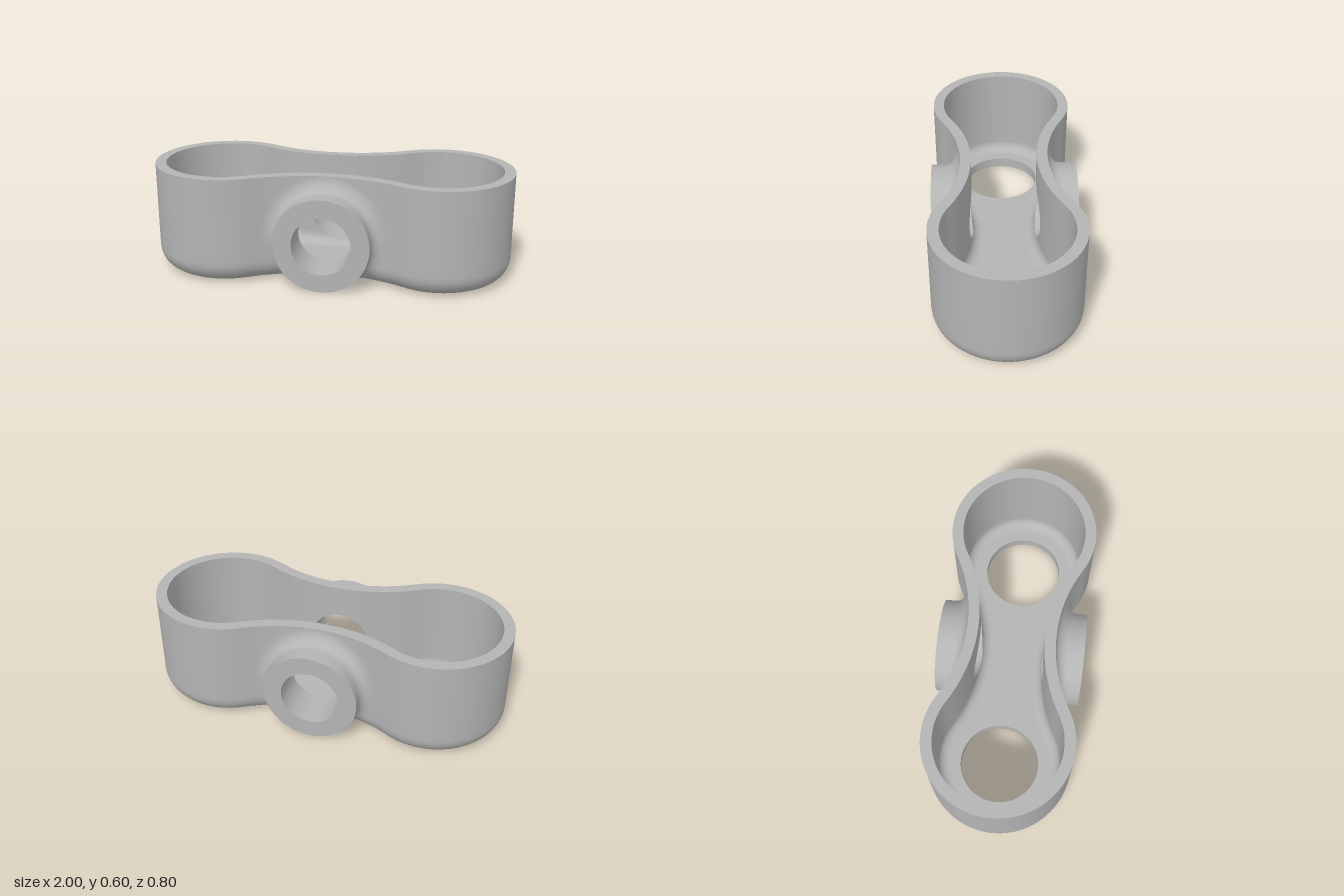
import * as THREE from 'three';

const HEIGHT = 0.6, WALL = 0.06, ROUND = 0.12;      // shell sizes
const END_X = 0.6, END_R = 0.4;                     // round ends
const WAIST_R = 0.805, WAIST_C = 1.045;             // concave waist arc
const PATCH_X = 0.38;                               // half width of the waist panel
const BOSS_Y = 0.26, BOSS_R = 0.26, BORE_R = 0.16, BOSS_Z = 0.4;
const FILLET_W = 0.08, FILLET_H = 0.07;

// Half width of the waist at x for an outline inset by i
const waistZ = (x, i) => WAIST_C - Math.sqrt((WAIST_R + i) ** 2 - x * x);

// Inset of the outer and inner wall at height y (rounded at the bottom)
const roundInset = (y, r) => (y >= r ? 0 : r - Math.sqrt(Math.max(0, r * r - (r - y) ** 2)));
const outerInset = y => roundInset(y, ROUND);
const innerInset = y => WALL + roundInset(y - WALL, ROUND - WALL);

// Extra height of the fillet that flares into the boss
function fillet(x, y) {
  const t = Math.min(1, Math.max(0, (Math.hypot(x, y - BOSS_Y) - BOSS_R) / FILLET_W));
  return FILLET_H * (1 - Math.sqrt(1 - (1 - t) ** 2));
}

const steps = (a, b, n) => Array.from({ length: n + 1 }, (_, k) => a + (b - a) * k / n);

// Heights of the wall rows: curved bottom edge, then straight
function heights(base) {
  const r = ROUND - base;
  return [
    ...steps(0, Math.PI / 2, 8).map(t => base + r * (1 - Math.cos(t))),
    ...steps(ROUND, HEIGHT, 10).slice(1),
  ];
}

// Surface through rows of points
function grid(rows, closed = false) {
  const n = rows[0].length, index = [];
  for (let j = 0; j < rows.length - 1; j++) {
    for (let k = 0; k < (closed ? n : n - 1); k++) {
      const a = j * n + k, b = j * n + (k + 1) % n;
      index.push(a, b, a + n, b, b + n, a + n);
    }
  }
  const g = new THREE.BufferGeometry();
  g.setAttribute('position', new THREE.Float32BufferAttribute(rows.flat(2), 3));
  g.setIndex(index);
  g.computeVertexNormals();
  return g;
}

// Right end of the outline, from the front of the waist round to the back
function endOutline(i) {
  const r = END_R - i, a = Math.atan2(WAIST_C, -END_X);
  const front = steps(PATCH_X, END_X + r * Math.cos(a), 4).slice(0, -1).map(x => [x, waistZ(x, i)]);
  const arc = steps(a, -a, 56).map(t => [END_X + r * Math.cos(t), r * Math.sin(t)]);
  return [...front, ...arc, ...front.map(([x, z]) => [x, -z]).reverse()];
}

// Whole outline; flare adds the boss fillet at ground level
function outline(i, flare = false) {
  const waist = steps(PATCH_X, -PATCH_X, 24).slice(1, -1)
    .map(x => [x, -waistZ(x, i) - (flare ? fillet(x, 0) : 0)]);
  const half = [...endOutline(i), ...waist];
  return [...half, ...half.map(([x, z]) => [-x, -z])];
}

// Border of the waist panel, counterclockwise from the lower right
function panelBorder(base) {
  const ys = heights(base), xs = steps(PATCH_X, -PATCH_X, 24);
  return [
    ...ys.slice(0, -1).map(y => [PATCH_X, y]),
    ...xs.slice(0, -1).map(x => [x, HEIGHT]),
    ...ys.slice(1).reverse().map(y => [-PATCH_X, y]),
    ...xs.slice(1).reverse().map(x => [x, base]),
  ];
}

// Rings running from the panel border to a circle of radius r
function panelRings(base, r, zAt) {
  const border = panelBorder(base);
  return steps(0, Math.PI, 18).map(t => {
    const s = (1 - Math.cos(t)) / 2;
    return border.map(([bx, by]) => {
      const d = Math.hypot(bx, by - BOSS_Y);
      const k = (d + (r - d) * s) / d;
      const x = bx * k, y = Math.max(base, BOSS_Y + (by - BOSS_Y) * k);
      return [x, y, zAt(x, y)];
    });
  });
}

export function createModel() {
  const group = new THREE.Group();
  const grey = new THREE.MeshStandardMaterial({ color: 0xb4b4b4, side: THREE.DoubleSide });
  grey.name = 'plain grey';
  const add = (name, geometry, turn = 0) => {
    const mesh = new THREE.Mesh(geometry, grey);
    mesh.name = name;
    mesh.rotation.y = turn;
    group.add(mesh);
  };

  // Rounded end walls
  const endRows = (base, inset) =>
    heights(base).map(y => endOutline(inset(y)).map(([x, z]) => [x, y, z]));
  const endOuter = grid(endRows(0, outerInset));
  const endInner = grid(endRows(WALL, innerInset).reverse());

  // Waist panels flaring into the bosses, with the bore through the wall
  const outerRings = panelRings(0, BOSS_R, (x, y) => waistZ(x, outerInset(y)) + fillet(x, y));
  const innerRings = panelRings(WALL, BORE_R, (x, y) => waistZ(x, innerInset(y))).reverse();
  const bossRoot = outerRings[outerRings.length - 1];
  const bossEdge = bossRoot.map(([x, y]) => [x, y, BOSS_Z]);
  const k = BORE_R / BOSS_R;
  const boreEdge = bossRoot.map(([x, y]) => [x * k, BOSS_Y + (y - BOSS_Y) * k, BOSS_Z]);
  const boreRoot = innerRings[0];
  const boreMouth = boreRoot.map(([x, y]) => [x, y, BOSS_Z]);
  const panelOuter = grid(outerRings, true);
  const panelInner = grid(innerRings, true);
  const bossSide = grid([bossRoot, bossEdge], true);
  const bossFace = grid([bossEdge, boreEdge], true);
  const bore = grid([boreMouth, boreRoot], true);

  for (const [end, side, turn] of [['left', 'front', 0], ['right', 'back', Math.PI]]) {
    add(end + 'EndOuterWall', endOuter, turn);
    add(end + 'EndInnerWall', endInner, turn);
    add(side + 'WaistOuterWall', panelOuter, turn);
    add(side + 'WaistInnerWall', panelInner, turn);
    add(side + 'BossSide', bossSide, turn);
    add(side + 'BossFace', bossFace, turn);
    add(side + 'Bore', bore, turn);
  }

  // Flat rim on top of the wall
  add('rim', grid([0, WALL].map(i => outline(i).map(([x, z]) => [x, HEIGHT, z])), true));

  // Floor slab with two round holes
  const floor = new THREE.Shape(outline(ROUND, true).map(([x, z]) => new THREE.Vector2(x, z)));
  for (const x of [-END_X, END_X]) {
    floor.holes.push(new THREE.Path().absarc(x, 0, 0.22, 0, Math.PI * 2, false));
  }
  const slab = new THREE.ExtrudeGeometry(floor, { depth: WALL, bevelEnabled: false, curveSegments: 56 });
  slab.rotateX(Math.PI / 2).translate(0, WALL, 0);
  add('floor', slab);

  return group;
}
